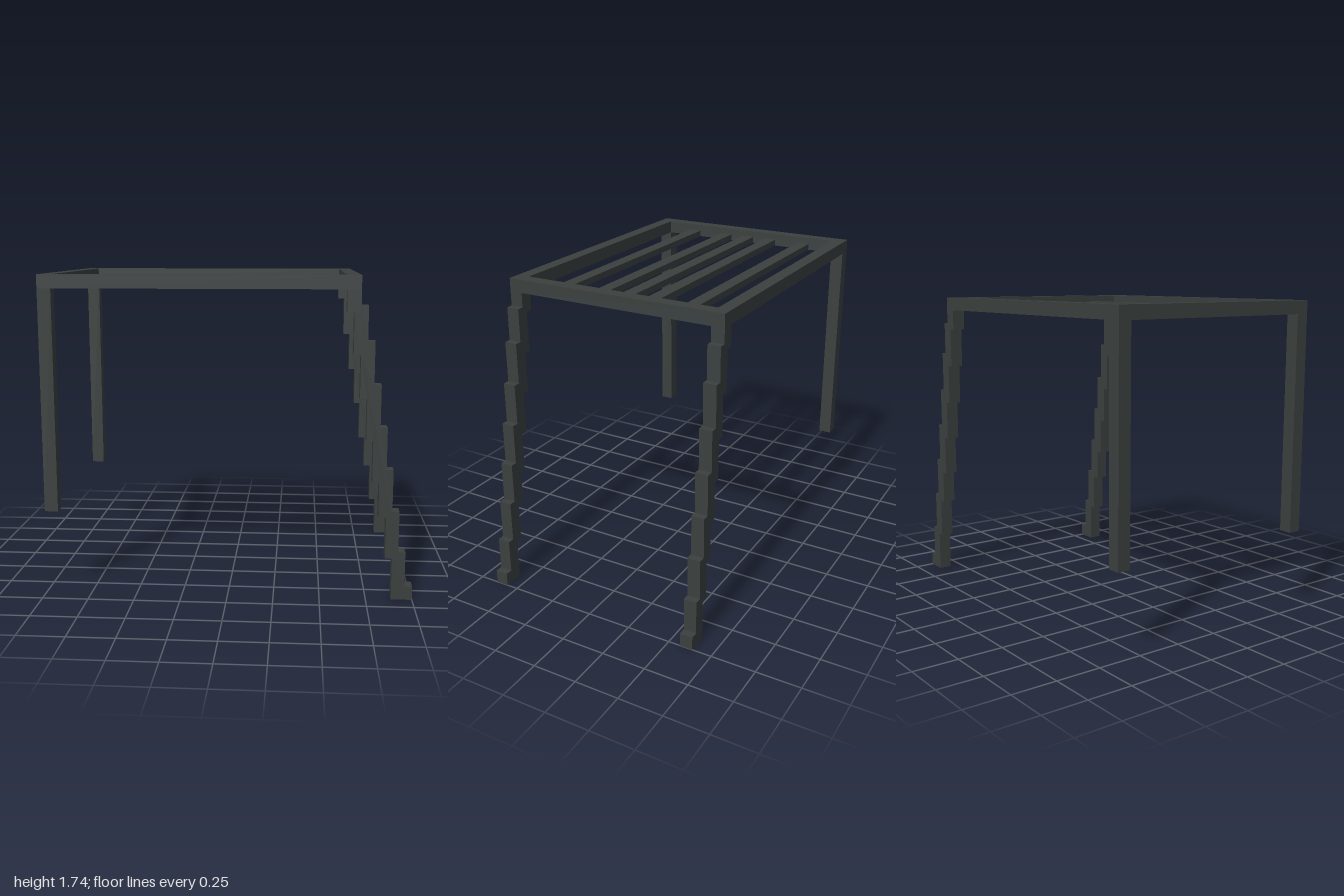
import * as THREE from 'three';

export function createModel() {
  const group = new THREE.Group();
  group.name = 'pergola';
  const charcoal = new THREE.MeshStandardMaterial({ color: 0x3b4140 });
  charcoal.name = 'charcoal metal';

  const T = 0.073;                 // beam thickness
  const TOP = 1.738, UNDER = TOP - T;
  const HZ = 0.64;                 // half depth
  const X0 = -1, X1 = 0.693;       // ends of the roof frame

  function bar(name, x0, x1, y0, y1, z0, z1) {
    const mesh = new THREE.Mesh(new THREE.BoxGeometry(x1 - x0, y1 - y0, z1 - z0), charcoal);
    mesh.position.set((x0 + x1) / 2, (y0 + y1) / 2, (z0 + z1) / 2);
    mesh.name = name;
    group.add(mesh);
  }

  // Roof frame
  bar('leftEndBeam', X1 - T, X1, UNDER, TOP, -HZ + T, HZ - T);
  bar('rightEndBeam', X0, X0 + T, UNDER, TOP, -HZ + T, HZ - T);
  bar('frontBeam', X0, X1, UNDER, TOP, HZ - T, HZ);
  bar('backBeam', X0, X1, UNDER, TOP, -HZ, -HZ + T);

  // Half-height roof slats, flush with the underside of the frame
  for (const z of [-0.379, -0.153, 0, 0.153, 0.379]) {
    bar('roofSlat', X0 + T, X1 - T, UNDER, UNDER + T / 2, z - T / 2, z + T / 2);
  }

  // Stepped leg outline: [x, lower y] of each step
  const outer = [[0.693, 1.585], [0.731, 1.4], [0.769, 1.172], [0.807, 0.946], [0.845, 0.719],
    [0.882, 0.492], [0.92, 0.265], [0.958, 0.076], [1, 0]];
  const inner = [[0.62, 1.55], [0.658, 1.325], [0.696, 1.098], [0.734, 0.873], [0.771, 0.645],
    [0.808, 0.457], [0.849, 0.23], [0.887, 0]];
  const descend = (steps) => {
    let y = UNDER;
    return steps.flatMap(([x, low]) => {
      const pair = [new THREE.Vector2(x, y), new THREE.Vector2(x, low)];
      y = low;
      return pair;
    });
  };
  const outline = new THREE.Shape([...descend(inner), ...descend(outer).reverse()]);
  const steppedGeometry = new THREE.ExtrudeGeometry(outline, { depth: T, bevelEnabled: false });

  // Front and back pairs of legs
  for (const [side, z] of [['front', HZ - T], ['back', -HZ]]) {
    bar(side + 'StraightLeg', X0, X0 + T, 0.457, UNDER, z, z + T);
    const leg = new THREE.Mesh(steppedGeometry, charcoal);
    leg.position.z = z;
    leg.name = side + 'SteppedLeg';
    group.add(leg);
  }
  return group;
}
